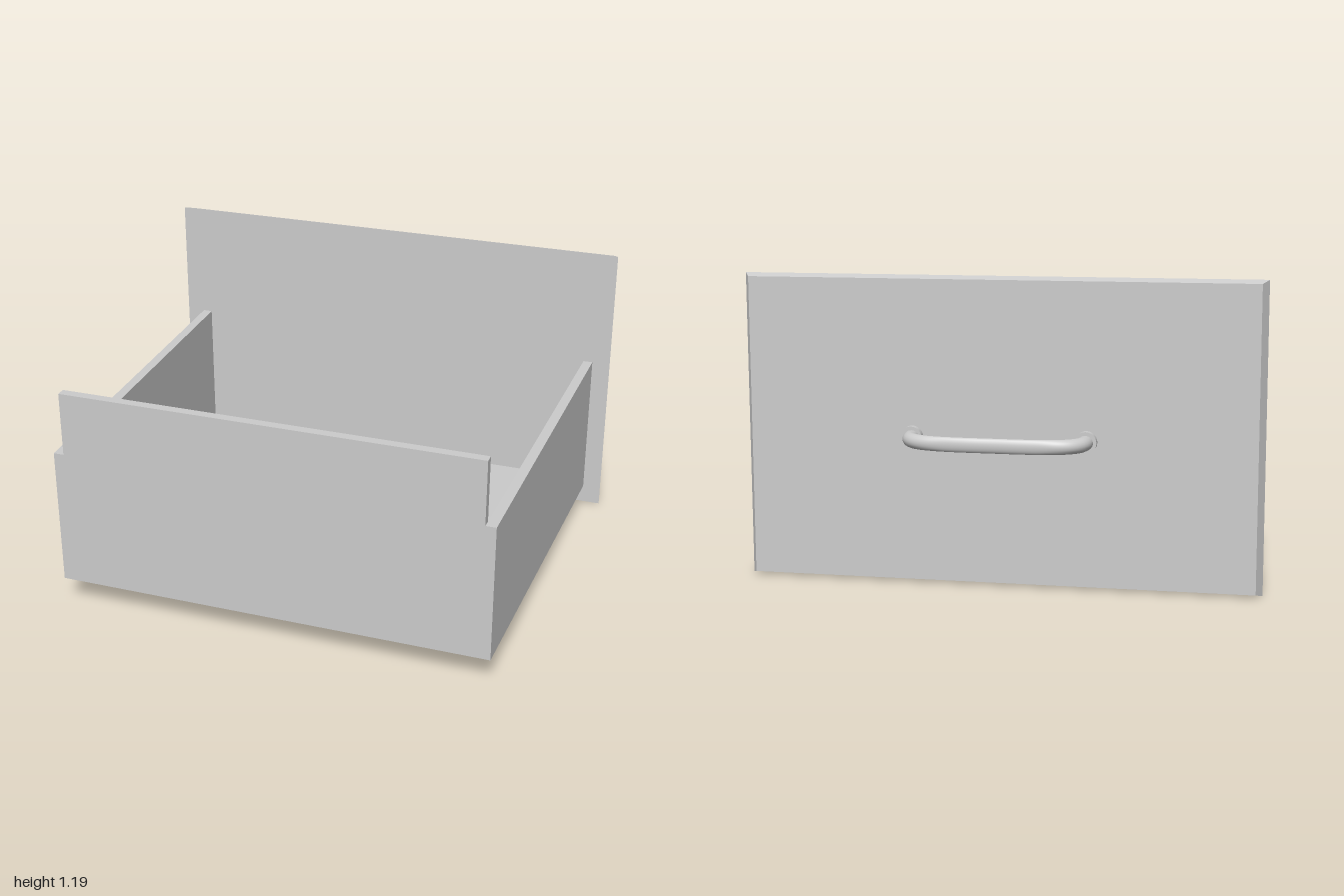
import * as THREE from 'three';

const grey = new THREE.MeshStandardMaterial({ color: 0xcccccc });
const Z_PANEL = -0.67, Z_OUTER = -0.712, Z_END = 0.87, Z_BOARD = 0.832;

// Box whose back and front ends are separate rectangles [x0, x1, y0, y1]
function taperedBox(name, zBack, back, zFront, front) {
  const geo = new THREE.BoxGeometry(1, 1, 1);
  const p = geo.attributes.position;
  for (let i = 0; i < p.count; i++) {
    const atFront = p.getZ(i) > 0;
    const r = atFront ? front : back;
    p.setXYZ(i, r[p.getX(i) > 0 ? 1 : 0], r[p.getY(i) > 0 ? 3 : 2], atFront ? zFront : zBack);
  }
  geo.computeVertexNormals();
  return named(name, geo);
}

function named(name, geo) {
  const mesh = new THREE.Mesh(geo, grey);
  mesh.name = name;
  return mesh;
}

// Bowed grip: round at the feet, flattened along the middle
function gripGeometry(y) {
  const half = [[0.334, -0.715], [0.333, -0.74], [0.325, -0.778], [0.301, -0.81],
    [0.261, -0.834], [0.197, -0.85], [0.11, -0.856]];
  const points = [
    ...half.map(([x, z]) => new THREE.Vector3(-x, y, z)),
    new THREE.Vector3(0, y, -0.856),
    ...half.slice().reverse().map(([x, z]) => new THREE.Vector3(x, y, z)),
  ];
  const curve = new THREE.CatmullRomCurve3(points);
  const rings = 64, sides = 20;
  const geo = new THREE.TubeGeometry(curve, rings, 0.028, sides);
  const p = geo.attributes.position;
  for (let i = 0; i <= rings; i++) {
    const c = curve.getPointAt(i / rings);
    const k = 0.48 + 0.62 * THREE.MathUtils.smoothstep(Math.abs(c.x), 0.16, 0.34);
    for (let j = 0; j <= sides; j++) {
      const n = i * (sides + 1) + j;
      p.setX(n, c.x + (p.getX(n) - c.x) * k);
      p.setZ(n, c.z + (p.getZ(n) - c.z) * k);
    }
  }
  geo.computeVertexNormals();
  return geo;
}

export function createModel() {
  const group = new THREE.Group();
  group.name = 'drawer';

  // Large face panel with bevelled edges
  group.add(taperedBox('facePanel', Z_OUTER, [-0.976, 0.976, 0.012, 1.175],
    Z_PANEL, [-1, 1, 0, 1.187]));

  // Tapering side walls
  for (const [name, s] of [['leftWall', 1], ['rightWall', -1]]) {
    const span = (a, b) => [Math.min(s * a, s * b), Math.max(s * a, s * b)];
    group.add(taperedBox(name, Z_PANEL, [...span(0.885, 0.924), 0.077, 0.69],
      Z_END, [...span(0.843, 0.885), 0.118, 0.684]));
  }

  // Sloping floor between the walls
  group.add(taperedBox('floor', Z_PANEL, [-0.885, 0.885, 0.077, 0.115],
    Z_END, [-0.843, 0.843, 0.118, 0.156]));

  // Taller end board
  group.add(taperedBox('endBoard', Z_BOARD, [-0.843, 0.843, 0.119, 0.945],
    Z_END, [-0.843, 0.843, 0.118, 0.945]));

  // Pull handle with round mounting plates
  const handle = new THREE.Group();
  handle.name = 'handle';
  const y = 0.573;
  handle.add(named('grip', gripGeometry(y)));
  for (const s of [-1, 1]) {
    const plate = named('mountingPlate', new THREE.CylinderGeometry(0.042, 0.042, 0.026, 24));
    plate.rotation.x = Math.PI / 2;
    plate.position.set(s * 0.335, y, Z_OUTER - 0.012);
    handle.add(plate);
  }
  group.add(handle);
  return group;
}
